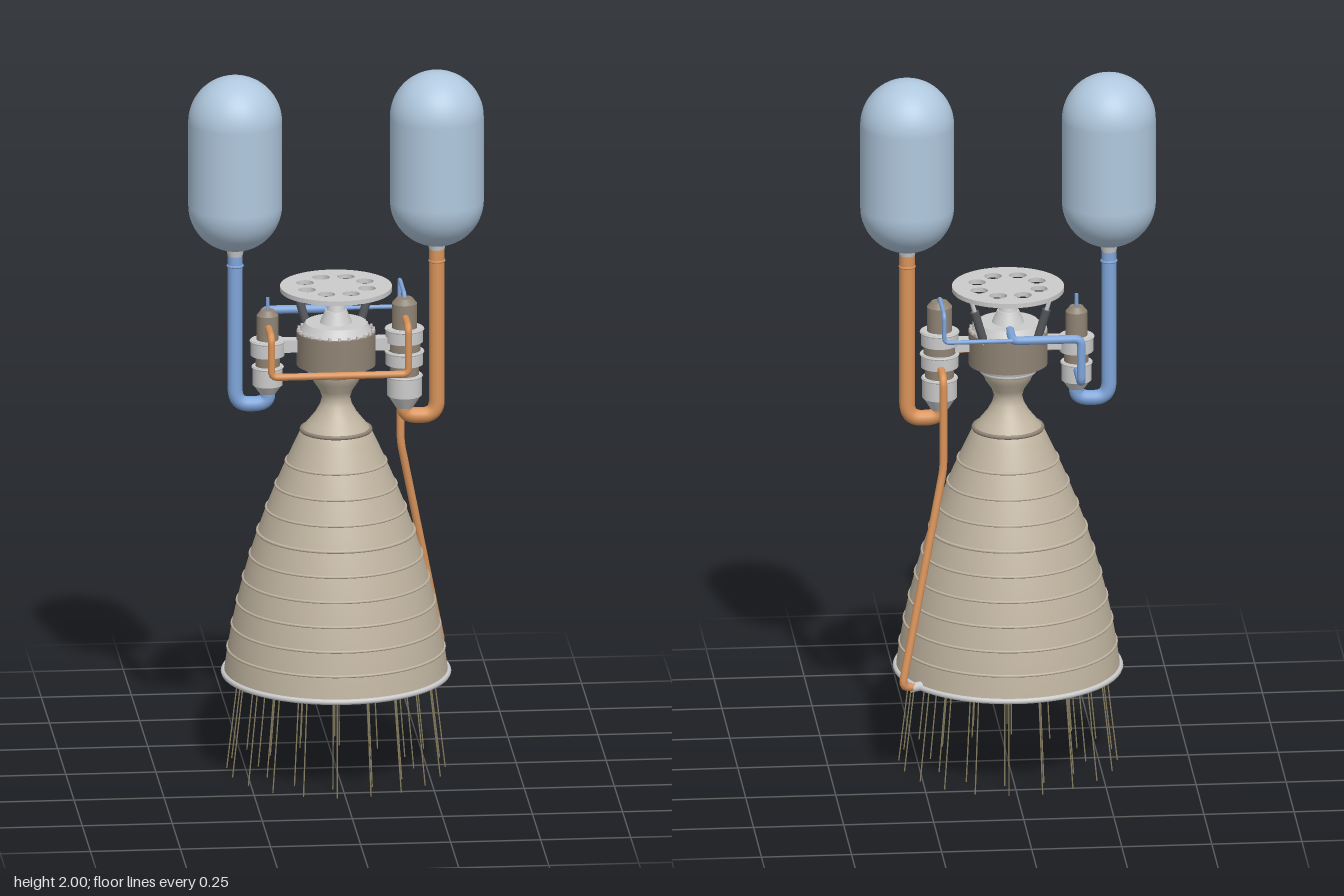
import * as THREE from 'three';

const mat = (color) => new THREE.MeshStandardMaterial({ color, side: THREE.DoubleSide });
const GREY = mat(0xcccccc), BELL = mat(0xc0b4a0), BROWN = mat(0x8f8374), DARK = mat(0x55575c);
const TANK = mat(0xb0c8de), ORANGE = mat(0xd9935a), BLUE = mat(0x7fa5da), STRAND = mat(0x8a8060);
const V = (x, y, z) => new THREE.Vector3(x, y, z);

// Nozzle radius at a height
const bellRadius = (y) => {
  const t = (0.98 - y) / 0.7;
  return 0.095 + 0.343 * t - 0.128 * t * t;
};

export function createModel() {
  const model = new THREE.Group();
  model.name = 'rocketEngine';

  const add = (name, geometry, material, x = 0, y = 0, z = 0, parent = model) => {
    const mesh = new THREE.Mesh(geometry, material);
    mesh.name = name;
    mesh.position.set(x, y, z);
    parent.add(mesh);
    return mesh;
  };
  // Upright drum between two heights
  const drum = (name, r0, r1, y0, y1, material, x = 0, z = 0, parent = model) =>
    add(name, new THREE.CylinderGeometry(r1, r0, y1 - y0, 40), material, x, (y0 + y1) / 2, z, parent);
  const ring = (name, radius, tube, y, material, x = 0, parent = model) => {
    const mesh = add(name, new THREE.TorusGeometry(radius, tube, 8, 64), material, x, y, 0, parent);
    mesh.rotation.x = Math.PI / 2;
    return mesh;
  };
  // Straight rod between two points
  const rod = (name, a, b, r, material, sides = 12) => {
    const mesh = add(name, new THREE.CylinderGeometry(r, r, a.distanceTo(b), sides), material);
    mesh.position.copy(a).lerp(b, 0.5);
    mesh.quaternion.setFromUnitVectors(V(0, 1, 0), b.clone().sub(a).normalize());
    return mesh;
  };
  // Pipe with rounded corners through the given points
  const pipe = (name, coords, r, bend, material) => {
    const pts = coords.map((c) => V(...c));
    const path = new THREE.CurvePath();
    let from = pts[0];
    for (let i = 1; i < pts.length - 1; i++) {
      const p = pts[i];
      const cut = (q) => p.clone().add(q.clone().sub(p).setLength(Math.min(bend, p.distanceTo(q) * 0.45)));
      const a = cut(pts[i - 1]), b = cut(pts[i + 1]);
      path.add(new THREE.LineCurve3(from, a));
      path.add(new THREE.QuadraticBezierCurve3(a, p, b));
      from = b;
    }
    path.add(new THREE.LineCurve3(from, pts[pts.length - 1]));
    return add(name, new THREE.TubeGeometry(path, 110, r, 14), material);
  };

  // Thrust chamber, throat and bell
  const profile = [[0.075, 1.17], [0.073, 1.14], [0.062, 1.115], [0.045, 1.09], [0.039, 1.07],
    [0.044, 1.05], [0.058, 1.025], [0.078, 1.0]].map(([x, y]) => new THREE.Vector2(x, y));
  for (let i = 0; i <= 24; i++) {
    const y = 0.98 - (i / 24) * 0.7;
    profile.push(new THREE.Vector2(bellRadius(y), y));
  }
  add('nozzle', new THREE.LatheGeometry(profile.reverse(), 72), BELL);
  for (let i = 0; i < 9; i++) {
    const y = 0.35 + i * 0.067;
    ring('bellHoop', bellRadius(y), i === 5 ? 0.005 : 0.004, y, BELL);
  }
  ring('bellRim', 0.311, 0.008, 0.28, GREY);
  ring('bellFlange', 0.095, 0.006, 0.977, BROWN);
  ring('chamberCollar', 0.073, 0.007, 1.145, GREY);

  // Injector head with its bolts and dome
  drum('injectorDrum', 0.11, 0.11, 1.165, 1.26, BROWN);
  drum('injectorTop', 0.1, 0.085, 1.26, 1.285, GREY);
  drum('chamberNeck', 0.085, 0.09, 1.15, 1.165, GREY);
  for (let i = 0; i < 24; i++) {
    const a = (i / 24) * Math.PI * 2;
    drum('injectorBolt', 0.004, 0.004, 1.258, 1.268, GREY, 0.104 * Math.cos(a), 0.104 * Math.sin(a));
  }

  // Gimbal joint under the mounting plate
  drum('gimbalBase', 0.045, 0.03, 1.285, 1.32, GREY);
  drum('gimbalPost', 0.026, 0.016, 1.32, 1.36, GREY);
  add('gimbalBall', new THREE.SphereGeometry(0.024, 24, 16), GREY, 0, 1.355, 0);

  // Mounting plate with eight holes
  const plate = new THREE.Shape().absarc(0, 0, 0.155, 0, Math.PI * 2);
  for (let i = 0; i < 8; i++) {
    const a = ((i + 0.5) / 8) * Math.PI * 2;
    plate.holes.push(new THREE.Path().absarc(0.09 * Math.cos(a), 0.09 * Math.sin(a), 0.024, 0, Math.PI * 2, true));
  }
  add('mountingPlate', new THREE.ExtrudeGeometry(plate, { depth: 0.013, bevelEnabled: false, curveSegments: 40 }),
    GREY, 0, 1.39, 0).rotation.x = Math.PI / 2;

  // Steering actuators and pump arms
  for (const s of [-1, 1]) {
    const low = V(s * 0.07, 1.24, -0.075), high = V(s * 0.11, 1.38, -0.085);
    rod('actuatorRod', low, high, 0.006, GREY);
    rod('actuatorBody', low.clone().lerp(high, 0.15), low.clone().lerp(high, 0.75), 0.012, DARK);
    add('pumpArm', new THREE.BoxGeometry(0.08, 0.035, 0.035), GREY, s * 0.135, 1.222, 0);
  }

  // Turbopumps: [bottom radius, top radius, bottom, top, material]
  const pumps = [
    ['oxidizerPump', -0.19, [[0.022, 0.04, 1.085, 1.11, GREY], [0.042, 0.042, 1.11, 1.165, GREY],
      [0.034, 0.034, 1.165, 1.195, BROWN], [0.047, 0.047, 1.195, 1.24, GREY],
      [0.03, 0.03, 1.24, 1.31, BROWN], [0.03, 0.018, 1.31, 1.325, BROWN]]],
    ['fuelPump', 0.19, [[0.024, 0.046, 1.035, 1.07, GREY], [0.048, 0.048, 1.07, 1.13, GREY],
      [0.04, 0.04, 1.13, 1.16, BROWN], [0.052, 0.052, 1.16, 1.2, GREY], [0.045, 0.045, 1.2, 1.225, BROWN],
      [0.052, 0.052, 1.225, 1.265, GREY], [0.035, 0.035, 1.265, 1.335, BROWN], [0.035, 0.022, 1.335, 1.35, BROWN]]],
  ];
  for (const [name, x, stages] of pumps) {
    const pump = new THREE.Group();
    pump.name = name;
    model.add(pump);
    for (const [r0, r1, y0, y1, m] of stages) {
      drum('pumpStage', r0, r1, y0, y1, m, x, 0, pump);
      if (r0 === r1 && m === GREY) ring('pumpFlange', r0, 0.003, y1 - 0.004, GREY, x, pump);
    }
  }

  // Propellant tanks with outlet necks
  for (const s of [-1, 1]) {
    add('tank', new THREE.CapsuleGeometry(0.13, 0.24, 16, 48), TANK, s * 0.28, 1.75, 0);
    drum('tankNeck', 0.018, 0.026, 1.47, 1.51, GREY, s * 0.28);
    ring('tankNeckRing', 0.02, 0.004, 1.455, s < 0 ? BLUE : ORANGE, s * 0.28);
  }

  // Feed lines from the tanks to the pumps
  pipe('oxidizerFeed', [[-0.28, 1.49, 0], [-0.28, 1.055, 0], [-0.19, 1.055, 0], [-0.19, 1.11, 0]], 0.021, 0.045, BLUE);
  pipe('fuelFeed', [[0.28, 1.49, 0], [0.28, 1.01, 0], [0.19, 1.01, 0], [0.19, 1.06, 0]], 0.022, 0.045, ORANGE);

  // Lines around the engine head
  pipe('frontCrossLine', [[-0.19, 1.28, 0], [-0.19, 1.28, 0.12], [-0.19, 1.165, 0.12], [0.19, 1.165, 0.12],
    [0.19, 1.3, 0.12], [0.19, 1.3, 0]], 0.01, 0.018, ORANGE);
  pipe('oxidizerLine', [[-0.19, 1.15, 0], [-0.19, 1.15, -0.15], [-0.19, 1.28, -0.15], [0, 1.28, -0.15],
    [0, 1.28, -0.06]], 0.012, 0.02, BLUE);
  pipe('thinOxidizerLine', [[0.19, 1.33, 0], [0.19, 1.36, 0], [0.19, 1.36, -0.15], [0.19, 1.28, -0.15],
    [0, 1.28, -0.15]], 0.006, 0.015, BLUE);
  rod('oxidizerVent', V(-0.19, 1.31, 0), V(-0.19, 1.36, 0), 0.005, BLUE);

  // Coolant line running down the bell to its rim
  pipe('coolantLine', [[0.19, 1.165, 0], [0.19, 1.165, -0.12], [0.19, 0.9, -0.12], [0.312, 0.29, -0.2],
    [0.255, 0.283, -0.168]], 0.011, 0.025, ORANGE);
  rod('coolantInlet', V(0.285, 0.284, -0.184), V(0.25, 0.284, -0.165), 0.013, GREY);

  // Exhaust strands below the bell
  for (const [count, top, bottom] of [[20, 0.255, 0.302], [12, 0.18, 0.215]]) {
    for (let i = 0; i < count; i++) {
      const a = ((i + 0.25) / count) * Math.PI * 2, c = Math.cos(a), s = Math.sin(a);
      rod('exhaustStrand', V(top * c, 0.4, top * s), V(bottom * c, 0, bottom * s), 0.002, STRAND, 5);
    }
  }
  return model;
}
